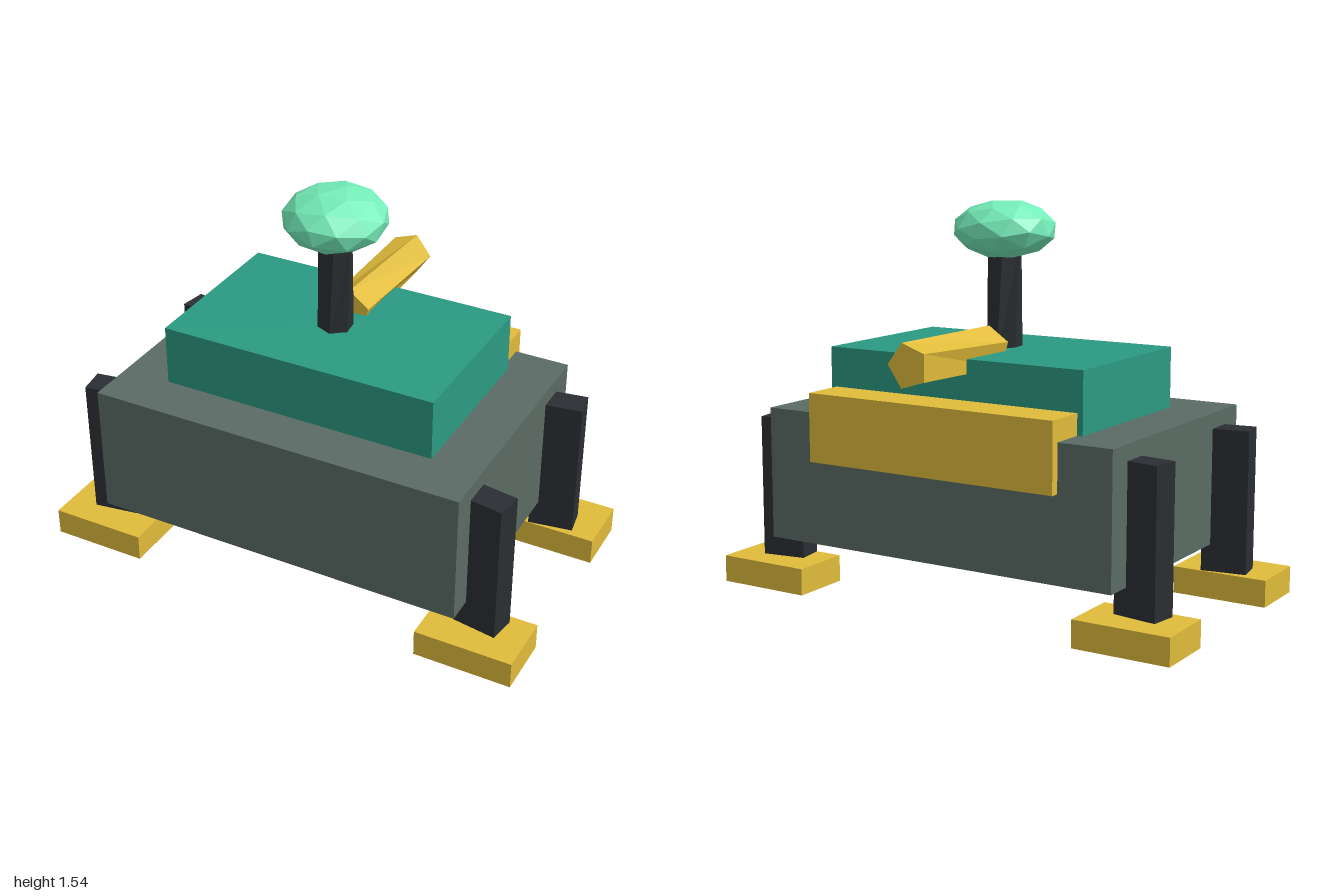
import * as THREE from 'three';

const paint = (color) => new THREE.MeshStandardMaterial({ color, flatShading: true });

export function createModel() {
  const model = new THREE.Group();
  model.name = 'model';
  const grey = paint(0x5b6b64), teal = paint(0x2b9a82), yellow = paint(0xe0bb3a);
  const black = paint(0x2a2e32), mint = paint(0x74ecb8);

  const add = (name, geometry, material) => {
    const mesh = new THREE.Mesh(geometry, material);
    mesh.name = name;
    model.add(mesh);
    return mesh;
  };
  // Box given by its lower and upper corners
  const box = (name, material, [x0, y0, z0], [x1, y1, z1]) => {
    const mesh = add(name, new THREE.BoxGeometry(x1 - x0, y1 - y0, z1 - z0), material);
    mesh.position.set((x0 + x1) / 2, (y0 + y1) / 2, (z0 + z1) / 2);
    return mesh;
  };
  // Prism along z whose ends are turned by different angles
  const twistedPrism = (sides, radius, length, startAngle, endAngle) => {
    const g = new THREE.CylinderGeometry(radius, radius, length, sides).rotateX(Math.PI / 2);
    const p = g.attributes.position;
    for (let i = 0; i < p.count; i++) {
      const a = p.getZ(i) > 0 ? endAngle : startAngle;
      const x = p.getX(i), y = p.getY(i);
      p.setXY(i, x * Math.cos(a) - y * Math.sin(a), x * Math.sin(a) + y * Math.cos(a));
    }
    return g;
  };

  // Hull, deck and rear plate
  box('body', grey, [-0.76, 0.215, -0.45], [0.76, 0.737, 0.585]);
  box('deck', teal, [-0.563, 0.73, -0.31], [0.563, 0.977, 0.39]);
  box('rearPlate', yellow, [-0.54, 0.55, -0.485], [0.54, 0.82, -0.3]);

  // Splayed legs on flat feet
  for (const side of [-1, 1]) {
    for (const front of [true, false]) {
      const name = (front ? 'front' : 'rear') + (side > 0 ? 'Left' : 'Right');
      const leg = add(name + 'Leg', new THREE.BoxGeometry(0.18, 0.59, 0.11), black);
      leg.position.set(side * 0.805, 0.38, front ? 0.428 : -0.29);
      leg.rotation.y = (front ? -1 : 1) * side * 0.155;
      const foot = add(name + 'Foot', new THREE.BoxGeometry(0.39, 0.107, 0.247), yellow);
      foot.position.set(side * 0.805, 0.0535, front ? 0.478 : -0.343);
    }
  }

  // Post
  const post = add('post', twistedPrism(6, 0.07, 0.42, 0.12, 0.42).rotateX(-Math.PI / 2), black);
  post.position.set(0, 1.16, 0.067);

  // Faceted head
  const ball = new THREE.IcosahedronGeometry(1, 1).rotateX(0.3).rotateZ(0.2);
  const head = add('head', ball.scale(0.202, 0.115, 0.204), mint);
  head.position.set(0, 1.434, 0.066);

  // Five-sided rear handle
  const deg = Math.PI / 180;
  const handle = add('handle', twistedPrism(5, 0.088, 0.55, 19 * deg, 34 * deg), yellow);
  handle.position.set(-0.005, 0.982, -0.325);

  return model;
}
